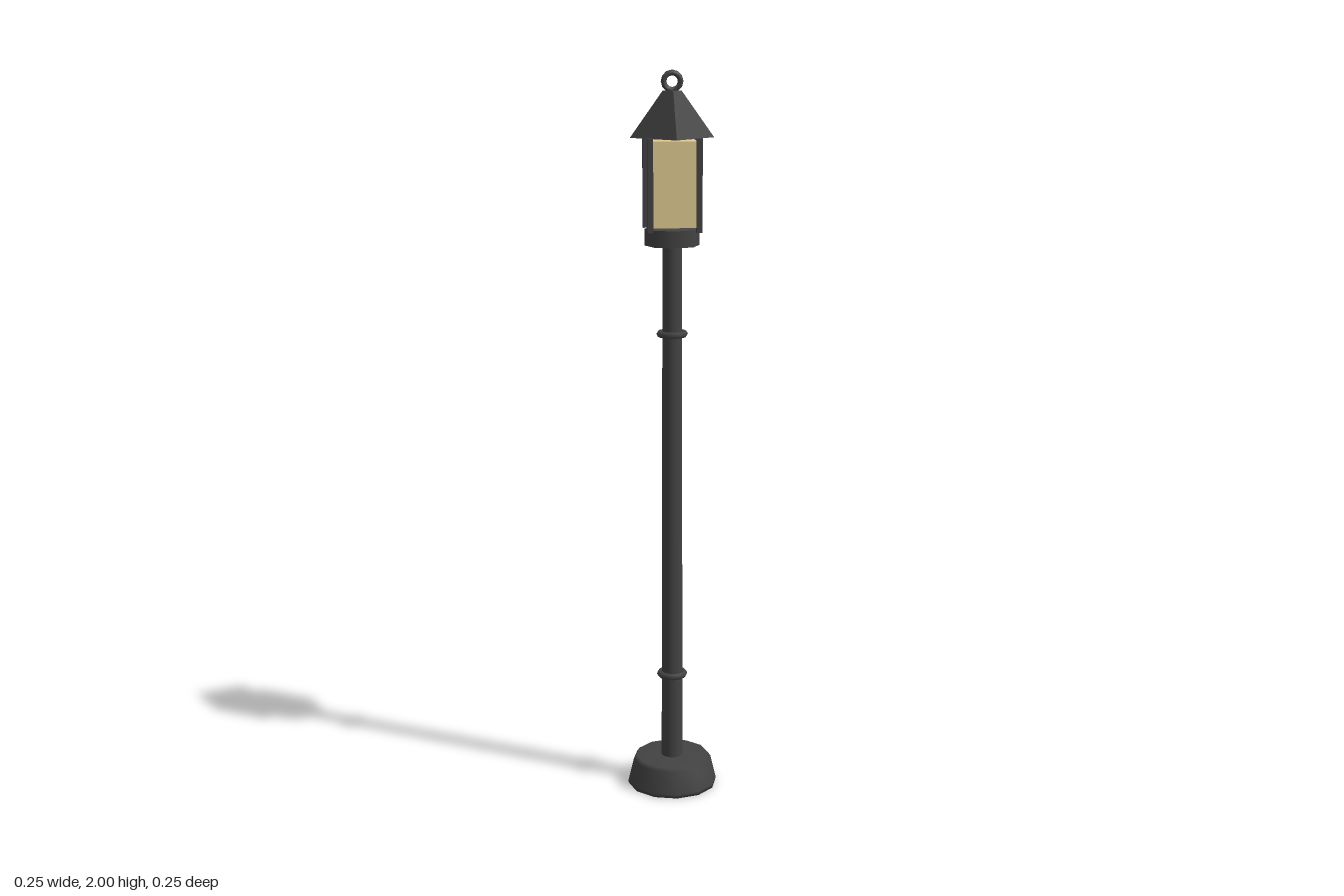
import * as THREE from 'three';

const metal = new THREE.MeshStandardMaterial({ color: 0x434343 });
metal.name = 'dark iron';
const roofMetal = metal.clone();
roofMetal.name = 'faceted dark iron';
roofMetal.flatShading = true;
const glass = new THREE.MeshStandardMaterial({ color: 0xe2cc92 });
glass.name = 'warm glass';

export function createModel() {
  const model = new THREE.Group();
  model.name = 'streetLamp';

  const add = (name, geometry, material, x = 0, y = 0, z = 0) => {
    const mesh = new THREE.Mesh(geometry, material);
    mesh.name = name;
    mesh.position.set(x, y, z);
    model.add(mesh);
    return mesh;
  };

  // Twelve-sided foot with a softened upper rim
  const profile = [[0, 0], [0.125, 0], [0.125, 0.01], [0.11, 0.072], [0.102, 0.083], [0, 0.083]]
    .map(([r, y]) => new THREE.Vector2(r, y));
  add('foot', new THREE.LatheGeometry(profile, 12), metal);

  // Slightly tapered post with two collars
  add('post', new THREE.CylinderGeometry(0.026, 0.03, 1.47, 12), metal, 0, 0.815, 0);
  for (const [name, y] of [['lowerCollar', 0.327], ['upperCollar', 1.3]]) {
    add(name, new THREE.TorusGeometry(0.034, 0.009, 6, 12), metal, 0, y, 0).rotation.x = Math.PI / 2;
  }

  // Lantern floor and glass
  add('lanternFloor', new THREE.CylinderGeometry(0.074, 0.074, 0.045, 8), metal, 0, 1.5625, 0);
  add('lanternGlass', new THREE.BoxGeometry(0.122, 0.226, 0.122), glass, 0, 1.705, 0);

  // Four corner bars
  for (const x of [-0.065, 0.065]) {
    for (const z of [-0.065, 0.065]) {
      add('cornerBar', new THREE.BoxGeometry(0.015, 0.245, 0.015), metal, x, 1.703, z);
    }
  }

  // Four-sided roof with its ridges on the axes
  add('roof', new THREE.CylinderGeometry(0.025, 0.112, 0.122, 4), roofMetal, 0, 1.885, 0);

  // Hanging ring
  add('topRing', new THREE.TorusGeometry(0.0225, 0.0075, 6, 12), metal, 0, 1.97, 0);

  return model;
}
